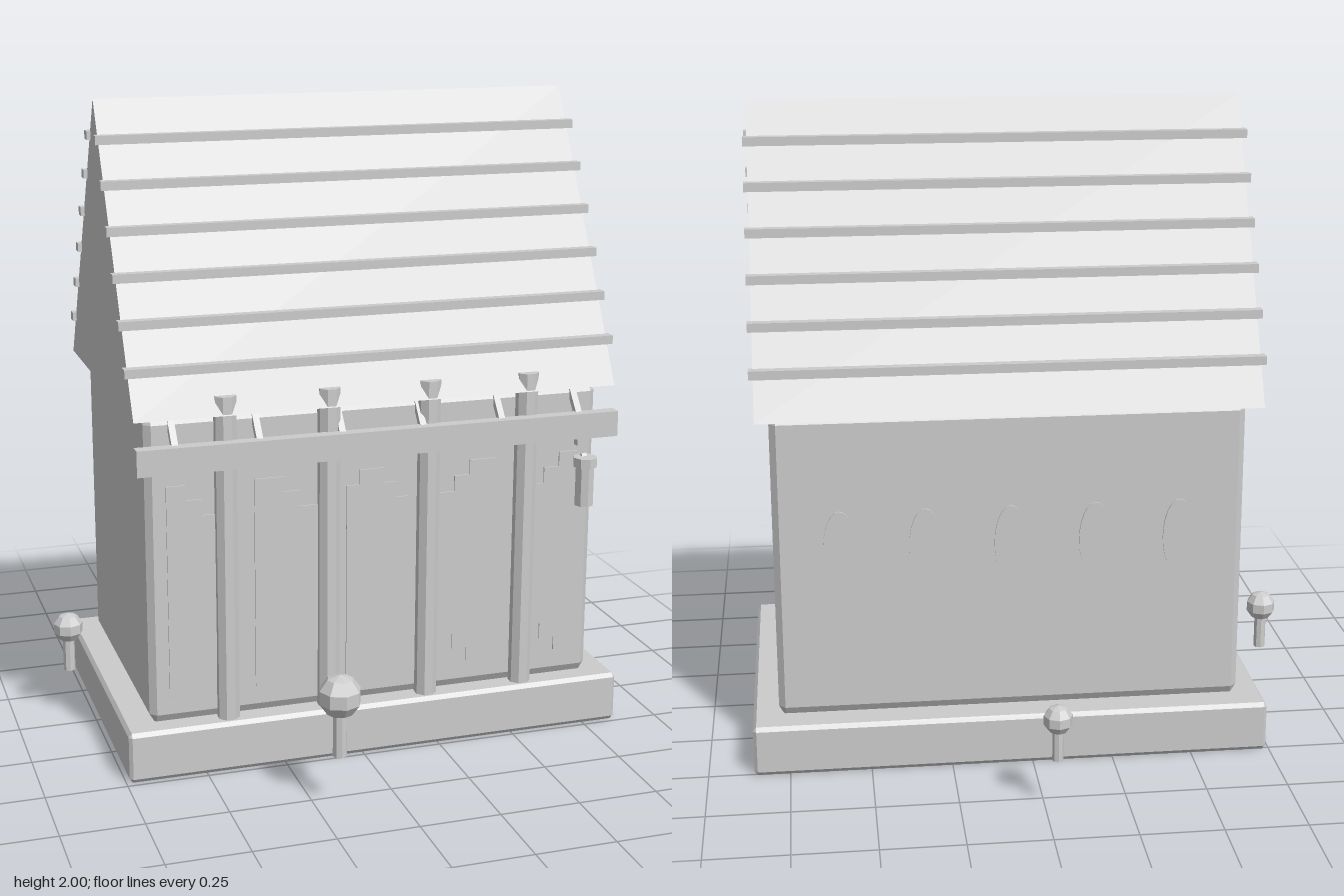
import * as THREE from 'three';
import { ConvexGeometry } from 'three/addons/geometries/ConvexGeometry.js';

const CX = 0.06; // the house is mirrored about this x

export function createModel() {
  const group = new THREE.Group();
  const stone = new THREE.MeshStandardMaterial({ color: 0xcccccc, flatShading: true });
  stone.name = 'lightGrey';

  function add(name, geo, x = 0, y = 0, z = 0, parent = group) {
    const mesh = new THREE.Mesh(geo, stone);
    mesh.name = name;
    mesh.position.set(x, y, z);
    parent.add(mesh);
    return mesh;
  }
  const box = (w, h, d) => new THREE.BoxGeometry(w, h, d);

  // Box with chamfered edges; bx, by, bz are the chamfer sizes
  function chamferBox(w, h, d, bx, by, bz) {
    const pts = [];
    for (const sx of [-1, 1]) for (const sy of [-1, 1]) for (const sz of [-1, 1]) {
      const x = w / 2, y = h / 2, z = d / 2;
      pts.push(
        new THREE.Vector3(sx * x, sy * (y - by), sz * (z - bz)),
        new THREE.Vector3(sx * (x - bx), sy * y, sz * (z - bz)),
        new THREE.Vector3(sx * (x - bx), sy * (y - by), sz * z));
    }
    return new ConvexGeometry(pts);
  }

  // Plinth and walls
  add('plinth', chamferBox(1.6, 0.16, 1.005, 0.01, 0.013, 0.01), CX, 0.08, -0.0125);
  add('walls', chamferBox(1.44, 0.98, 0.86, 0.02, 0.035, 0.02), CX, 0.64, 0);

  // Gable roof
  const gable = new THREE.Shape();
  gable.moveTo(-0.485, 1.12);
  gable.lineTo(0.485, 1.12);
  gable.lineTo(0, 2);
  const roof = new THREE.ExtrudeGeometry(gable, { depth: 1.52, bevelEnabled: false });
  roof.rotateY(Math.PI / 2);
  add('roof', roof, CX - 0.76, 0, -0.01);

  // Roof battens
  for (let i = 0; i < 6; i++) {
    const y = 1.253 + i * 0.1265;
    const z = 0.485 * (2 - y) / 0.88 + 0.006;
    for (const s of [-1, 1]) add('roofBatten', box(1.545, 0.027, 0.035), CX, y, -0.01 + s * z);
  }

  // Octagonal front posts
  for (let i = 0; i < 4; i++) {
    const post = new THREE.CylinderGeometry(0.035, 0.035, 1.015, 8);
    post.rotateY(Math.PI / 8);
    add('frontPost', post, CX + (i - 1.5) * 0.32, 0.6675, 0.441);
  }

  // Front beam and its slanted struts
  add('frontBeam', box(1.52, 0.08, 0.04), CX, 1.005, 0.488);
  for (let i = 0; i < 6; i++) {
    const strut = add('beamStrut', box(0.02, 0.15, 0.02), CX + (i - 2.5) * 0.256, 1.065, 0.45);
    strut.rotation.x = -0.68;
  }

  // Thin stepped panels between the posts
  function panel(points) {
    const geo = new THREE.ExtrudeGeometry(
      new THREE.Shape(points.map(([x, y]) => new THREE.Vector2(x, y))),
      { depth: 0.006, bevelEnabled: false });
    add('steppedPanel', geo, CX, 0, 0.429);
  }
  // x offsets where the three steps end, from the tall side to the short side
  function steps(x0, x1, x2, x3) {
    return [[x0, 0.245], [x1, 0.245], [x1, 0.29], [x2, 0.29], [x2, 0.34], [x3, 0.34],
      [x3, 0.81], [x2, 0.81], [x2, 0.86], [x1, 0.86], [x1, 0.907], [x0, 0.907]];
  }
  for (const [a, b, c, d] of [[0.66, 0.6, 0.55, 0.51], [0.39, 0.3, 0.25, 0.16]]) {
    panel(steps(a, b, c, d));
    panel(steps(-a, -b, -c, -d));
  }
  panel([[-0.1, 0.195], [0.1, 0.195], [0.1, 0.81], [0.06, 0.81], [0.06, 0.86],
    [0.02, 0.86], [0.02, 0.907], [-0.06, 0.907], [-0.06, 0.86], [-0.1, 0.86]]);

  // Oval plaques on the back wall
  for (let i = -2; i <= 2; i++) {
    const oval = new THREE.CylinderGeometry(1, 1, 0.012, 24);
    oval.rotateX(Math.PI / 2);
    oval.scale(0.05, 0.12, 1);
    add('backOval', oval, CX + i * 0.26, 0.7, -0.43);
  }

  // Hanging lantern
  const lantern = new THREE.Group();
  lantern.name = 'lantern';
  lantern.position.set(0.717, 0, 0.502);
  group.add(lantern);
  add('lanternBody', new THREE.CylinderGeometry(0.03, 0.03, 0.135, 8), 0, 0.8175, 0, lantern);
  add('lanternCap', new THREE.CylinderGeometry(0.038, 0.038, 0.03, 8), 0, 0.89, 0, lantern);
  add('lanternBracket', box(0.02, 0.05, 0.025), 0, 0.955, -0.052, lantern);
  const arm = add('lanternArm', box(0.016, 0.016, 0.09), 0, 0.882, -0.045, lantern);
  arm.rotation.x = -0.6;

  // Small round trees
  for (const [x, z, y, r, t] of [
    [-0.18, 0.805, 0.347, 0.066, 0.022],
    [-0.82, -0.07, 0.305, 0.049, 0.019],
    [-0.035, -0.82, 0.29, 0.045, 0.017],
  ]) {
    const tree = new THREE.Group();
    tree.name = 'tree';
    tree.position.set(x, 0, z);
    group.add(tree);
    add('treeTrunk', new THREE.CylinderGeometry(t, t, y - 0.16, 8), 0, (y + 0.16) / 2, 0, tree);
    add('treeCrown', new THREE.SphereGeometry(r, 8, 5), 0, y, 0, tree);
  }

  return group;
}
